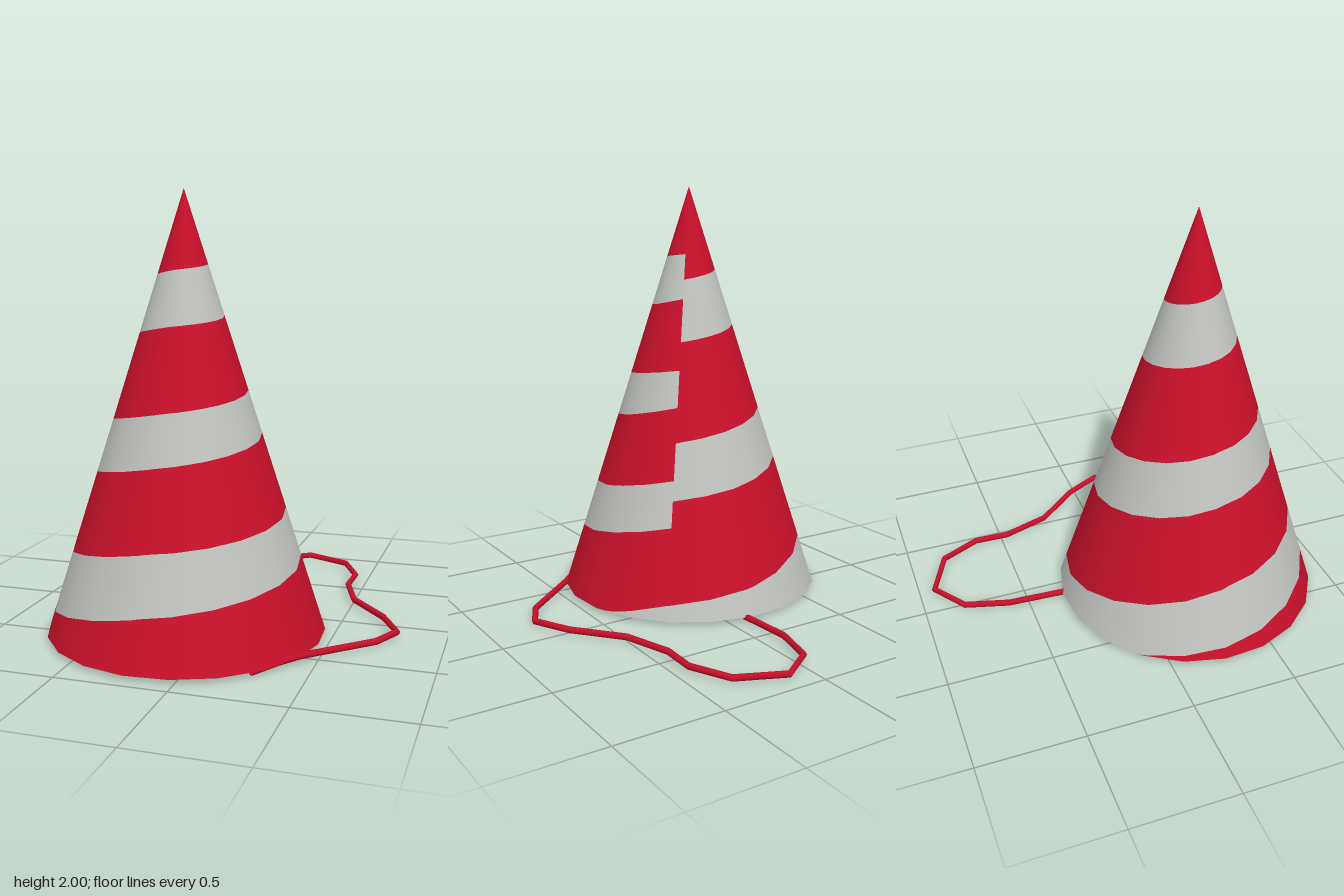
import * as THREE from 'three';

const TOP = 2, BASE = 0.02, RADIUS = 0.635, SIDES = 20;
const CENTRE = new THREE.Vector3(-0.165, 0, 0.305);
const rad = THREE.MathUtils.degToRad;

// Stripe edge heights, sampled at these angles starting from the seam of the rolled cone
const ANGLES = [-48, 0, 90, 180, 270, 312];
const EDGES = [
  [2, 2, 2, 2, 2, 2],
  [1.68, 1.67, 1.65, 1.62, 1.58, 1.56],
  [1.47, 1.44, 1.41, 1.36, 1.3, 1.27],
  [1.14, 1.11, 1.05, 0.97, 0.86, 0.81],
  [0.97, 0.91, 0.83, 0.73, 0.6, 0.55],
  [0.64, 0.57, 0.49, 0.36, 0.15, 0.09],
  [0.43, 0.35, 0.24, 0.08, -0.05, -0.1],
  [0.09, -0.03, -1, -1, -1, -1],
  [-2, -2, -2, -2, -2, -2],
];

function edgeHeight(edge, deg) {
  let i = 0;
  while (i < ANGLES.length - 2 && deg > ANGLES[i + 1]) i++;
  const t = (deg - ANGLES[i]) / (ANGLES[i + 1] - ANGLES[i]);
  return Math.max(BASE, THREE.MathUtils.lerp(edge[i], edge[i + 1], t));
}

// Point on the twenty-sided cone
function conePoint(deg, y) {
  const step = 360 / SIDES;
  const local = ((deg - 5) % step + step) % step - step / 2;
  const r = RADIUS * (TOP - y) / (TOP - BASE) * Math.cos(rad(step / 2)) / Math.cos(rad(local));
  return [r * Math.cos(rad(deg)), y, r * Math.sin(rad(deg))];
}

// One winding band between two stripe edges
function bandGeometry(upper, lower) {
  const pos = [], nor = [], idx = [];
  const angles = [-48];
  for (let a = -44.5; a < 312; a += 4.5) angles.push(a);
  angles.push(312);
  const slope = RADIUS / (TOP - BASE);
  angles.forEach((deg, i) => {
    const n = new THREE.Vector3(Math.cos(rad(deg)), slope, Math.sin(rad(deg))).normalize();
    const yTop = edgeHeight(upper, deg), yLow = edgeHeight(lower, deg);
    pos.push(...conePoint(deg, yTop), ...conePoint(deg, yLow));
    nor.push(n.x, n.y, n.z, n.x, n.y, n.z);
    if (i === 0) return;
    const b = 2 * i, a = b - 2;
    idx.push(a, b, a + 1, a + 1, b, b + 1);
  });
  const g = new THREE.BufferGeometry();
  g.setAttribute('position', new THREE.Float32BufferAttribute(pos, 3));
  g.setAttribute('normal', new THREE.Float32BufferAttribute(nor, 3));
  g.setIndex(idx);
  return g;
}

// Path with straight runs and mitred corners
class CordPath extends THREE.Curve {
  constructor(points) { super(); this.points = points; }
  index(u) { return Math.round(u * (this.points.length - 1)); }
  getPoint(u, target = new THREE.Vector3()) { return target.copy(this.points[this.index(u)]); }
  getPointAt(u, target) { return this.getPoint(u, target); }
  getTangentAt(u, target = new THREE.Vector3()) {
    const i = this.index(u), last = this.points.length - 1;
    const dir = (a, b) => this.points[b].clone().sub(this.points[a]).normalize();
    target.set(0, 0, 0);
    if (i > 0) target.add(dir(i - 1, i));
    if (i < last) target.add(dir(i, i + 1));
    return target.normalize();
  }
}

export function createModel() {
  const model = new THREE.Group();
  model.name = 'partyHat';
  const red = new THREE.MeshStandardMaterial({ color: 0xc8102a, side: THREE.DoubleSide });
  red.name = 'red';
  const white = new THREE.MeshStandardMaterial({ color: 0xc0c2be, side: THREE.DoubleSide });
  white.name = 'paleGrey';

  // Open paper cone made of alternating bands
  const cone = new THREE.Group();
  cone.name = 'cone';
  cone.position.copy(CENTRE);
  for (let i = 0; i < EDGES.length - 1; i++) {
    const band = new THREE.Mesh(bandGeometry(EDGES[i], EDGES[i + 1]), i % 2 ? white : red);
    band.name = i % 2 ? 'paleStripe' : 'redStripe';
    cone.add(band);
  }
  model.add(cone);

  // Loose cord lying on the ground, tucked under the rim at both ends
  const points = [
    [-0.09, 0.017, -0.3], [-0.09, 0.03, -0.6], [-0.035, 0.033, -0.81], [0.13, 0.033, -0.927],
    [0.35, 0.033, -0.83], [0.44, 0.033, -0.64], [0.435, 0.033, -0.47], [0.51, 0.033, -0.24],
    [0.69, 0.033, -0.03], [0.78, 0.033, 0.145], [0.71, 0.033, 0.29], [0.43, 0.03, 0.54],
    [0.35, 0.024, 0.63], [0.27, 0.017, 0.745],
  ].map(p => new THREE.Vector3(...p));
  const cord = new THREE.Mesh(
    new THREE.TubeGeometry(new CordPath(points), points.length - 1, 0.015, 6, false), red);
  cord.name = 'cord';
  model.add(cord);
  return model;
}
